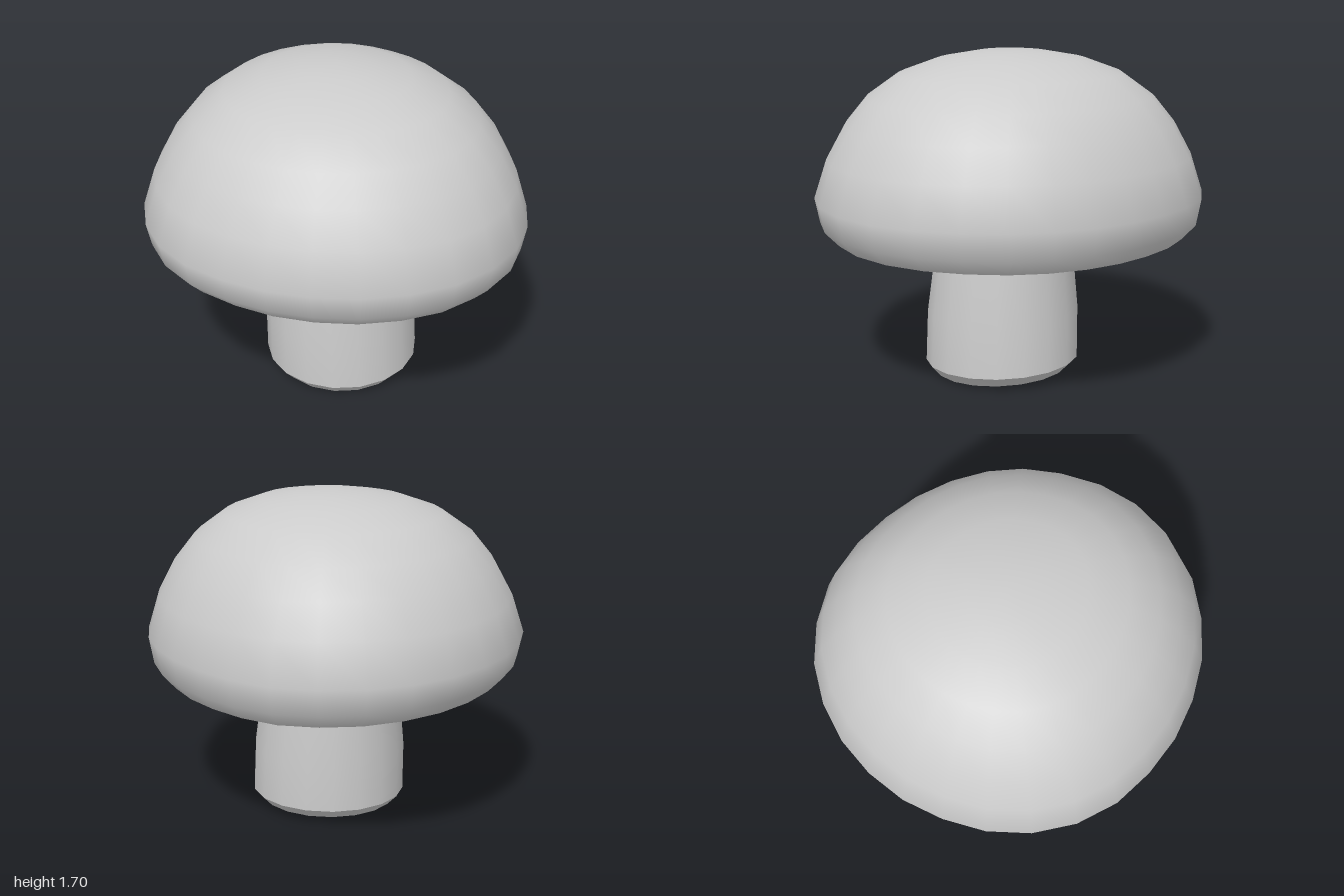
import * as THREE from 'three';
import { mergeVertices, toCreasedNormals } from 'three/addons/utils/BufferGeometryUtils.js';

const material = new THREE.MeshStandardMaterial({ color: 0xcccccc });

// Revolve a bottom-to-top profile, move its vertices by a rule, smooth it but keep hard edges
function turned(name, profile, sides, rule, crease) {
  const points = profile.map(([r, y]) => new THREE.Vector2(r, y));
  let geometry = new THREE.LatheGeometry(points, sides);
  geometry.deleteAttribute('uv');
  geometry.deleteAttribute('normal');
  const position = geometry.attributes.position;
  const v = new THREE.Vector3();
  for (let i = 0; i < position.count; i++) {
    v.fromBufferAttribute(position, i);
    rule(v);
    position.setXYZ(i, v.x, v.y, v.z);
  }
  geometry = toCreasedNormals(mergeVertices(geometry, 1e-4), crease);
  const mesh = new THREE.Mesh(geometry, material);
  mesh.name = name;
  return mesh;
}

// Uneven cap outline: radius every 22.5 degrees, from the front towards the left (+x)
const outline = [1, 1.02, 1.05, 1.03, 0.98, 0.95, 0.93, 0.94, 0.99, 1, 0.99, 0.98, 0.985, 1.01, 1.02, 0.995];

function outlineAt(x, z) {
  const n = outline.length;
  const t = ((Math.atan2(x, z) / (2 * Math.PI) + 1) % 1) * n;
  const i = Math.floor(t) % n;
  return THREE.MathUtils.lerp(outline[i], outline[(i + 1) % n], t - Math.floor(t));
}

export function createModel() {
  const model = new THREE.Group();
  model.name = 'mushroom';

  // Domed cap with a rounded rim and a shallow hollow underneath
  const capProfile = [
    [0, 0.87], [0.4, 0.865], [0.65, 0.82], [0.84, 0.768], [0.9, 0.765],
    [0.97, 0.84], [0.995, 0.97], [0.93, 1.17], [0.84, 1.335], [0.73, 1.47],
    [0.57, 1.585], [0.38, 1.655], [0.19, 1.69], [0, 1.705],
  ];
  model.add(turned('cap', capProfile, 28, (v) => {
    const s = outlineAt(v.x, v.z);
    const low = THREE.MathUtils.clamp((1 - v.y) / 0.2, 0, 1);
    v.y += low * (0.01 * v.z - 0.012 * v.x);
    v.x *= s;
    v.z *= s;
  }, 0.75));

  // Flared collar between stem and cap
  const collarProfile = [[0.3, 0.675], [0.36, 0.68], [0.415, 0.705], [0.455, 0.765], [0.43, 0.88]];
  const collar = turned('collar', collarProfile, 18, (v) => {
    v.x += 0.015;
    v.z += 0.025;
  }, 0.6);
  model.add(collar);

  // Stem, widening and leaning slightly towards a bevelled, tilted foot
  const stemProfile = [[0, 0.035], [0.2, 0.03], [0.355, 0.002], [0.405, 0.06], [0.4, 0.33], [0.36, 0.69]];
  model.add(turned('stem', stemProfile, 18, (v) => {
    const down = 1 - v.y / 0.69;
    v.y += Math.max(0, 1 - v.y / 0.3) * 0.018 * (1 - v.z / 0.36);
    v.x += 0.012 + 0.02 * down;
    v.z += 0.035 + 0.01 * down;
  }, 0.65));

  return model;
}
